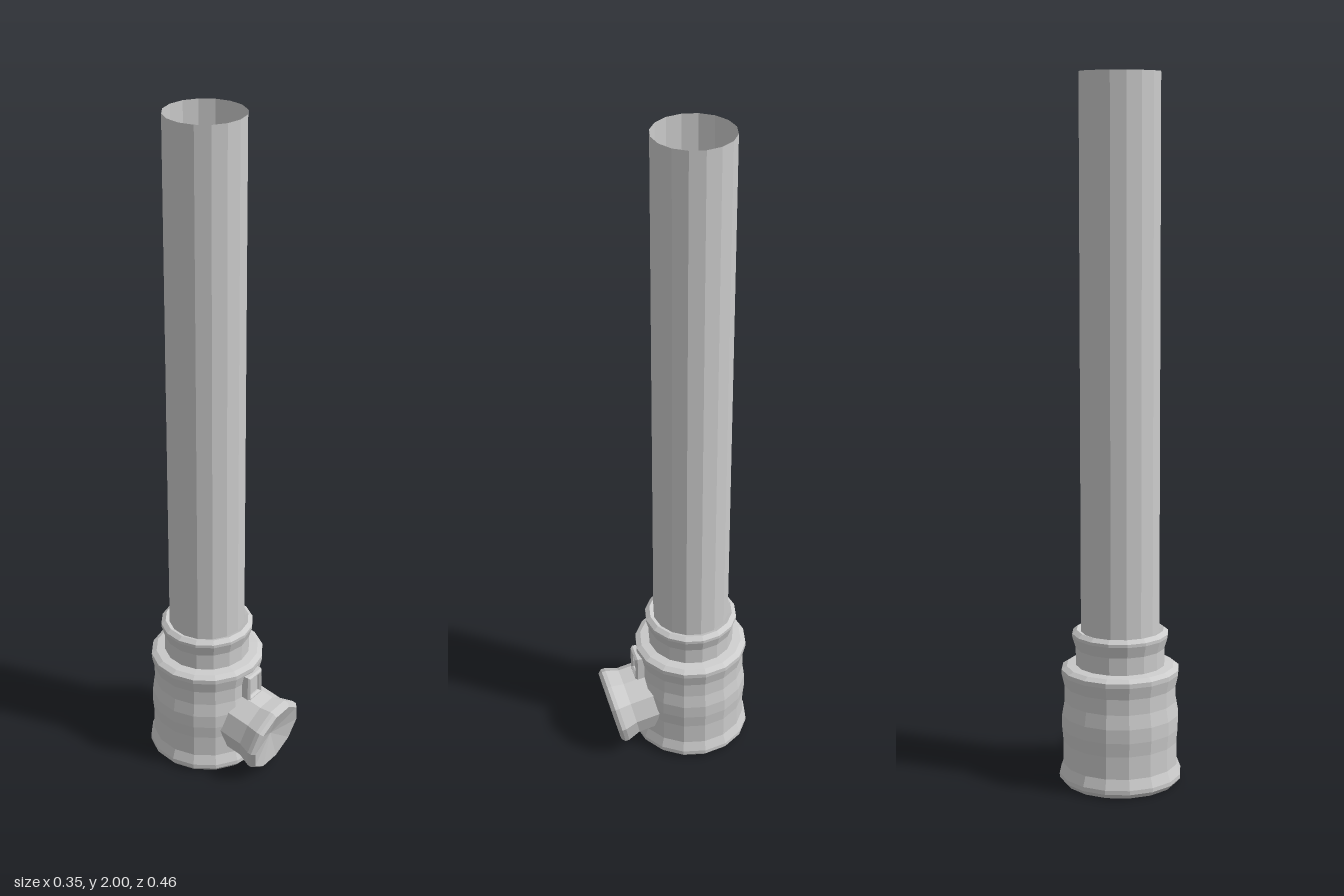
import * as THREE from 'three';

const material = new THREE.MeshStandardMaterial({ color: 0xcccccc, flatShading: true, side: THREE.DoubleSide });

function lathe(name, points, sides) {
  const profile = points.map(([r, y]) => new THREE.Vector2(r, y));
  const mesh = new THREE.Mesh(new THREE.LatheGeometry(profile, sides), material);
  mesh.name = name;
  return mesh;
}

export function createModel() {
  const group = new THREE.Group();
  const axisZ = -0.051;

  // Socket with open bottom, bulged wall, stepped collar and dished top
  const socket = lathe('socket', [
    [0.164, 0], [0.176, 0.014], [0.176, 0.026], [0.165, 0.055], [0.164, 0.12],
    [0.168, 0.16], [0.168, 0.2], [0.161, 0.24], [0.161, 0.285], [0.169, 0.32],
    [0.169, 0.333], [0.154, 0.342], [0.128, 0.345], [0.128, 0.395], [0.138, 0.428],
    [0.138, 0.437], [0.125, 0.447], [0, 0.4],
  ], 16);
  socket.position.z = axisZ;
  group.add(socket);

  // Long thin-walled tube
  const tube = lathe('tube', [[0.113, 0.4], [0.113, 2]], 16);
  tube.position.z = axisZ;
  group.add(tube);

  // Side nozzle: the lathe axis points forward and slightly down
  const nozzle = lathe('nozzle', [
    [0.105, -0.21], [0.105, -0.06], [0.118, -0.022], [0.118, -0.01], [0.108, 0], [0, -0.022],
  ], 10);
  nozzle.geometry.rotateY(Math.PI / 10);
  nozzle.rotation.x = Math.PI / 2 + 0.217;
  nozzle.position.set(0, 0.117, 0.206);
  group.add(nozzle);

  // Small catch above the nozzle: a bevelled frame around a recessed panel
  const frame = new THREE.Shape([
    [-0.034, -0.043], [0.034, -0.043], [0.034, 0.043], [-0.034, 0.043],
  ].map(([x, y]) => new THREE.Vector2(x, y)));
  frame.holes.push(new THREE.Path([
    [-0.022, -0.029], [-0.022, 0.029], [0.022, 0.029], [0.022, -0.029],
  ].map(([x, y]) => new THREE.Vector2(x, y))));
  const catchFrame = new THREE.Mesh(new THREE.ExtrudeGeometry(frame, {
    depth: 0.035, bevelEnabled: true, bevelThickness: 0.006, bevelSize: 0.005, bevelOffset: -0.005, bevelSegments: 1,
  }), material);
  catchFrame.name = 'catchFrame';
  catchFrame.position.set(0, 0.273, 0.089);
  group.add(catchFrame);

  const panel = new THREE.Mesh(new THREE.BoxGeometry(0.05, 0.064, 0.03), material);
  panel.name = 'catchPanel';
  panel.position.set(0, 0.273, 0.105);
  group.add(panel);

  return group;
}
